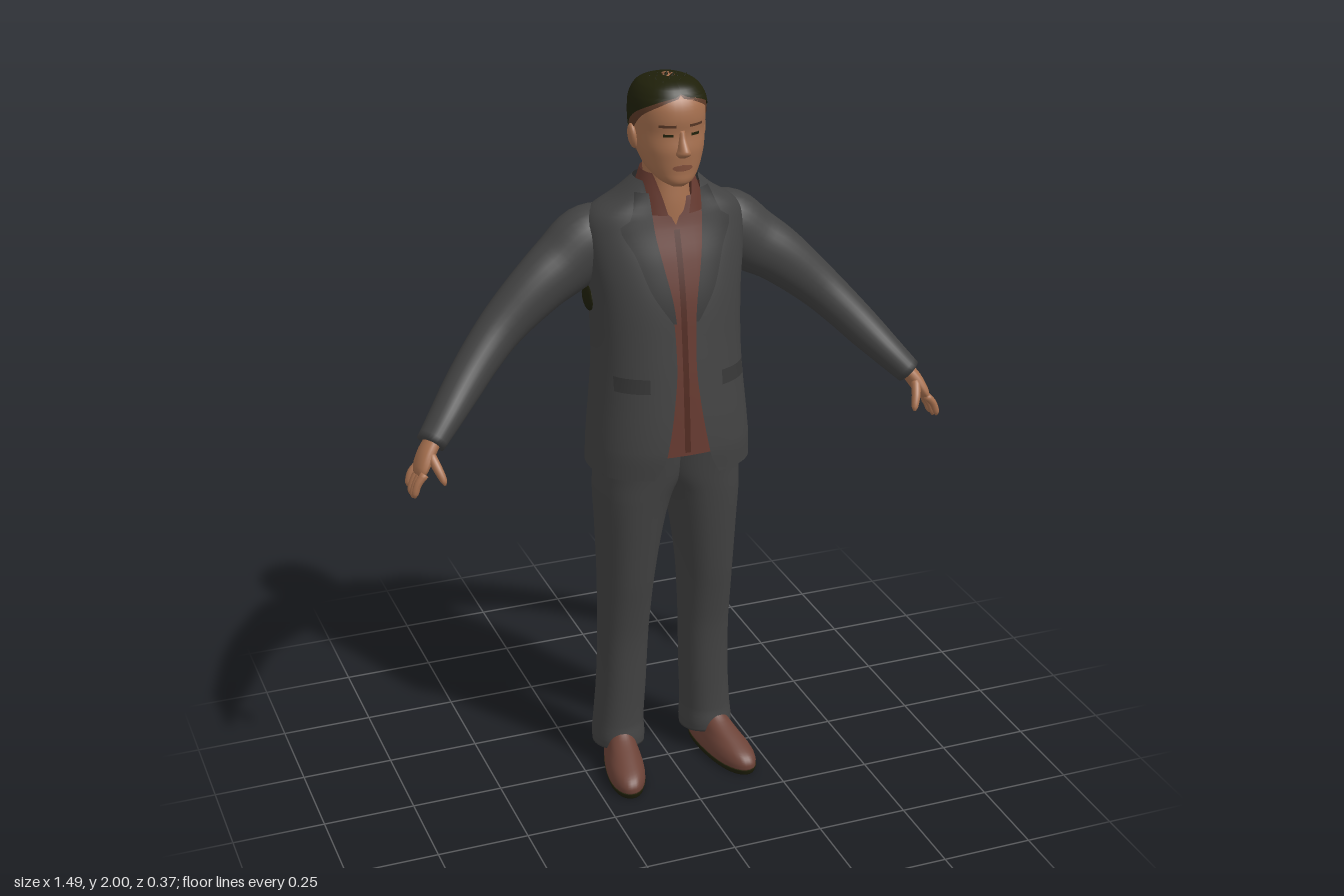
import * as THREE from 'three';

const V = (x, y, z) => new THREE.Vector3(x, y, z);
const mat = (name, color, side = THREE.DoubleSide) => {
  const m = new THREE.MeshStandardMaterial({ color, side });
  m.name = name;
  return m;
};

// Skin a list of rows of points, optionally closing each row and capping the ends.
function skin(rows, closed = true, caps = false) {
  const n = rows[0].length, pos = [], idx = [];
  rows.forEach(r => r.forEach(p => pos.push(p.x, p.y, p.z)));
  for (let i = 0; i < rows.length - 1; i++) {
    for (let j = 0; j < (closed ? n : n - 1); j++) {
      const k = (j + 1) % n, a = i * n + j, b = i * n + k;
      idx.push(a, b, a + n, b, b + n, a + n);
    }
  }
  if (caps) {
    [0, rows.length - 1].forEach(i => {
      const c = rows[i].reduce((s, p) => s.add(p), V(0, 0, 0)).divideScalar(n);
      const ci = pos.length / 3;
      pos.push(c.x, c.y, c.z);
      for (let j = 0; j < n; j++) {
        const a = i * n + j, b = i * n + (j + 1) % n;
        if (i === 0) idx.push(ci, b, a); else idx.push(ci, a, b);
      }
    });
  }
  const g = new THREE.BufferGeometry();
  g.setAttribute('position', new THREE.Float32BufferAttribute(pos, 3));
  g.setIndex(idx);
  g.computeVertexNormals();
  return g;
}

// Smoothly interpolate a table of [y, ...values] at height y.
function at(t, y) {
  let i = 0;
  while (i < t.length - 2 && y > t[i + 1][0]) i++;
  const h = t[i + 1][0] - t[i][0], u = (y - t[i][0]) / h;
  const slope = (k, c) => {
    const a = t[Math.max(k - 1, 0)], b = t[Math.min(k + 1, t.length - 1)];
    return (b[c] - a[c]) / (b[0] - a[0]);
  };
  return t[i].map((v, c) => c === 0 ? y :
    v * (1 + 2 * u) * (1 - u) ** 2 + t[i + 1][c] * u * u * (3 - 2 * u) +
    h * (slope(i, c) * u * (1 - u) ** 2 + slope(i + 1, c) * u * u * (u - 1)));
}

// Upright body from rows [y, halfWidth, backZ, frontZ, centreX]; open(y, row) gives a half gap angle at the front.
function body(t, { n = 2.2, segs = 36, open = null, caps = !open, sub = 4 } = {}) {
  const rows = [];
  const pw = v => Math.sign(v) * Math.abs(v) ** (2 / n);
  for (let i = 0; i < t.length - 1; i++) {
    for (let k = i ? 1 : 0; k <= sub; k++) {
      const y = t[i][0] + (t[i + 1][0] - t[i][0]) * k / sub;
      const s = at(t, y), a0 = open ? open(y, s) : 0, row = [];
      for (let j = 0; j < segs + (open ? 1 : 0); j++) {
        const a = a0 + (2 * Math.PI - 2 * a0) * j / segs;
        row.push(V((s[4] || 0) + s[1] * pw(Math.sin(a)), y,
          (s[2] + s[3]) / 2 + (s[3] - s[2]) / 2 * pw(Math.cos(a))));
      }
      rows.push(row);
    }
  }
  return skin(rows, !open, caps);
}
const gap = (w, n) => (y, s) => Math.asin(Math.min(0.98, Math.max(0, w(y)) / s[1]) ** (n / 2));

// Thin plate lying on the front of a body between two edge functions of y.
function patch(t, n, y0, y1, xa, xb, off, rows = 12, cols = 6) {
  const out = [];
  for (let i = 0; i <= rows; i++) {
    const y = y0 + (y1 - y0) * i / rows, s = at(t, y), row = [];
    for (let j = 0; j <= cols; j++) {
      const x = Math.min(xa(y) + (xb(y) - xa(y)) * j / cols, s[1] * 0.97);
      const f = (1 - Math.abs(x / s[1]) ** n) ** (1 / n);
      row.push(V(x, y, (s[2] + s[3]) / 2 + (s[3] - s[2]) / 2 * f + off));
    }
    out.push(row);
  }
  return skin(out, false);
}

// Limb along points [x, y, z, radius, radiusZ].
function limb(pts, segs = 20, sub = 4) {
  const curve = new THREE.CatmullRomCurve3(pts.map(p => V(p[0], p[1], p[2])));
  const rad = pts.map((p, i) => [i, p[3], p[4]]), rows = [], N = (pts.length - 1) * sub;
  for (let i = 0; i <= N; i++) {
    const c = curve.getPoint(i / N), T = curve.getTangent(i / N), r = at(rad, i / sub);
    const v = V(0, 0, 1).addScaledVector(T, -T.z).normalize(), u = v.clone().cross(T);
    rows.push(Array.from({ length: segs }, (_, j) => {
      const a = j / segs * Math.PI * 2;
      return c.clone().addScaledVector(u, r[1] * Math.cos(a)).addScaledVector(v, r[2] * Math.sin(a));
    }));
  }
  return skin(rows, true, true);
}

function mirrored(g) {
  const m = g.clone().scale(-1, 1, 1), ix = m.index.array;
  for (let i = 0; i < ix.length; i += 3) [ix[i], ix[i + 1]] = [ix[i + 1], ix[i]];
  return m;
}

export function createModel() {
  const root = new THREE.Group();
  const suit = mat('charcoal suit', 0x424242), lapelMat = mat('dark lapel', 0x373737);
  const shirtMat = mat('brown shirt', 0x65392f), placketMat = mat('shirt fold', 0x50291f);
  const skinMat = mat('skin', 0xa6704f), lipMat = mat('lips', 0x86523d);
  const hairMat = mat('dark olive', 0x1f200a), fadeMat = mat('hair fade', 0x5a3826);
  const shoeMat = mat('brown leather', 0x6b4237);
  const add = (name, g, m) => {
    const mesh = new THREE.Mesh(g, m);
    mesh.name = name;
    root.add(mesh);
  };
  const pair = (name, g, m) => {
    add(name + 'Left', g, m);
    add(name + 'Right', mirrored(g), m);
  };

  // Jacket, open down the front
  const torso = [[0.94, 0.222, -0.178, 0.15], [1.02, 0.218, -0.18, 0.156], [1.2, 0.201, -0.177, 0.142],
    [1.3, 0.198, -0.178, 0.132], [1.42, 0.203, -0.185, 0.118], [1.52, 0.215, -0.184, 0.095],
    [1.6, 0.215, -0.168, 0.07], [1.64, 0.195, -0.152, 0.06], [1.68, 0.135, -0.125, 0.052], [1.725, 0.084, -0.092, 0.045]];
  const edge = [[0.94, 0.09], [1.0, 0.062], [1.2, 0.03], [1.32, 0.028], [1.42, 0.036], [1.52, 0.055], [1.6, 0.068], [1.725, 0.075]];
  const edgeX = y => at(edge, y)[1];
  add('jacket', body(torso, { n: 2.4, segs: 48, open: gap(edgeX, 2.4) }), suit);
  const outer = [[1.37, 0.035], [1.45, 0.085], [1.55, 0.12], [1.615, 0.15], [1.632, 0.125], [1.7, 0.1]];
  pair('lapel', patch(torso, 2.4, 1.37, 1.7, y => edgeX(y) - 0.004, y => at(outer, y)[1], 0.008, 20), lapelMat);
  pair('pocketFlap', patch(torso, 2.4, 1.185, 1.225, () => 0.1, () => 0.18, 0.005, 3), lapelMat);

  // Shirt, placket and collar
  const shirt = torso.slice(1, 9).map(([y, r, b, f]) => [y, r - 0.014, b + 0.014, f - 0.012]);
  shirt[0][0] = 1.0;
  add('shirt', body(shirt, { n: 2.4, open: gap(y => (y - 1.61) * 0.5, 2.4) }), shirtMat);
  add('placket', patch(shirt, 2.4, 1.01, 1.6, () => -0.008, () => 0.008, 0.003), placketMat);
  const collar = [[1.645, 0.1, -0.112, 0.078], [1.69, 0.085, -0.1, 0.068], [1.745, 0.066, -0.09, 0.05]];
  add('collar', body(collar, { open: gap(y => 0.028 + (y - 1.645) * 0.25, 2.2) }), shirtMat);

  // Sleeves and hands
  pair('sleeve', limb([[0.12, 1.58, -0.075, 0.072, 0.078], [0.19, 1.55, -0.08, 0.095, 0.086],
    [0.26, 1.5, -0.075, 0.088, 0.08], [0.33, 1.455, -0.06, 0.077, 0.068], [0.44, 1.36, -0.045, 0.062, 0.059],
    [0.51, 1.29, -0.02, 0.055, 0.055], [0.57, 1.225, 0.01, 0.05, 0.052],
    [0.63, 1.16, 0.045, 0.042, 0.049], [0.674, 1.113, 0.07, 0.036, 0.045]], 28), suit);
  pair('palm', limb([[0.66, 1.13, 0.068, 0.02, 0.028], [0.686, 1.095, 0.078, 0.021, 0.036],
    [0.706, 1.06, 0.088, 0.017, 0.041], [0.714, 1.043, 0.09, 0.01, 0.036]]), skinMat);
  [0.057, 0.08, 0.103, 0.125].forEach((z, i) => {
    const drop = [0.012, 0, 0, 0.008][i];
    pair('finger' + (i + 1), limb([[0.706, 1.055, z, 0.011, 0.012], [0.725, 1.025 + drop, z + 0.002, 0.01, 0.011],
      [0.734, 1.0 + drop, z + 0.004, 0.009, 0.009], [0.736, 0.988 + drop, z + 0.004, 0.003, 0.003]], 10, 3), skinMat);
  });
  pair('thumb', limb([[0.683, 1.095, 0.1, 0.013, 0.014], [0.672, 1.065, 0.128, 0.012, 0.012],
    [0.662, 1.037, 0.143, 0.009, 0.009], [0.66, 1.026, 0.146, 0.003, 0.003]], 10, 3), skinMat);
  pair('armpit', new THREE.SphereGeometry(1, 16, 10).scale(0.012, 0.04, 0.04).translate(0.2, 1.405, -0.06), hairMat);

  // Trousers with hems dipping at the heel
  const leg = [[0.05, 0.069, -0.138, 0.03, 0.132], [0.08, 0.071, -0.14, 0.03, 0.132], [0.13, 0.068, -0.134, 0.024, 0.131],
    [0.25, 0.067, -0.126, 0.026, 0.124], [0.4, 0.068, -0.119, 0.034, 0.12], [0.5, 0.071, -0.12, 0.049, 0.118],
    [0.6, 0.075, -0.126, 0.067, 0.115], [0.75, 0.088, -0.138, 0.088, 0.107], [0.85, 0.103, -0.146, 0.1, 0.097],
    [0.92, 0.118, -0.148, 0.108, 0.08], [1.01, 0.118, -0.148, 0.12, 0.076]];
  const legGeo = body(leg, { n: 2.3, segs: 32 }), lp = legGeo.attributes.position;
  for (let i = 0; i < lp.count; i++) {
    lp.setY(i, lp.getY(i) + Math.max(0, 0.15 - lp.getY(i)) * 2 * (lp.getZ(i) + 0.06));
  }
  legGeo.computeVertexNormals();
  pair('trouserLeg', legGeo, suit);

  // Shoes: narrowed at the heel and turned outward
  const shoe = t => {
    const g = body(t, { n: 2.2, segs: 32 }), p = g.attributes.position;
    for (let i = 0; i < p.count; i++) p.setX(i, p.getX(i) * (0.88 + 0.7 * Math.min(0.17, Math.max(0, p.getZ(i) + 0.03))));
    g.rotateY(0.19).translate(0.142, 0, 0.003);
    g.computeVertexNormals();
    return g;
  };
  pair('shoe', shoe([[0.016, 0.056, -0.12, 0.185], [0.035, 0.056, -0.119, 0.184], [0.055, 0.051, -0.116, 0.165],
    [0.075, 0.044, -0.112, 0.115], [0.1, 0.038, -0.105, 0.045], [0.12, 0.033, -0.1, 0.01]]), shoeMat);
  pair('sole', shoe([[0, 0.053, -0.12, 0.18], [0.017, 0.057, -0.122, 0.187]]), hairMat);

  // Neck and head
  add('neck', body([[1.58, 0.075, -0.1, 0.05], [1.66, 0.062, -0.09, 0.05], [1.72, 0.057, -0.086, 0.045], [1.8, 0.06, -0.085, 0.04]]), skinMat);
  const head = [[1.722, 0.02, 0.035, 0.085], [1.735, 0.043, 0, 0.098], [1.76, 0.065, -0.05, 0.1], [1.79, 0.078, -0.085, 0.103],
    [1.82, 0.086, -0.105, 0.105], [1.86, 0.09, -0.115, 0.1], [1.9, 0.092, -0.117, 0.104],
    [1.94, 0.088, -0.11, 0.096], [1.97, 0.068, -0.09, 0.07], [1.985, 0.035, -0.05, 0.04]];
  add('head', body(head), skinMat);
  add('nose', body([[1.803, 0.012, 0.08, 0.11], [1.813, 0.019, 0.08, 0.128], [1.825, 0.015, 0.08, 0.13],
    [1.85, 0.01, 0.08, 0.112], [1.872, 0.008, 0.08, 0.103]], { segs: 16 }), skinMat);
  pair('ear', new THREE.SphereGeometry(1, 16, 12).scale(0.012, 0.033, 0.02).rotateZ(-0.15).translate(0.092, 1.838, -0.012), skinMat);
  pair('eye', patch(head, 2.2, 1.857, 1.864, () => 0.024, () => 0.048, 0.002, 2), hairMat);
  pair('eyebrow', patch(head, 2.2, 1.881, 1.888, () => 0.018, () => 0.058, 0.002, 2), fadeMat);
  const lip = y => 0.027 * Math.sqrt(Math.max(0, 1 - ((y - 1.776) / 0.009) ** 2));
  add('lips', patch(head, 2.2, 1.767, 1.785, y => -lip(y), lip, 0.003, 8), lipMat);

  // Hair cap with a faded hairline and short spikes on the crown
  const hair = [[1.79, 0.086, -0.096, 0.109], [1.82, 0.091, -0.114, 0.11], [1.86, 0.096, -0.122, 0.107], [1.9, 0.098, -0.124, 0.109],
    [1.94, 0.094, -0.118, 0.102], [1.97, 0.076, -0.1, 0.082], [1.984, 0.05, -0.07, 0.058], [1.992, 0.015, -0.025, 0.022]];
  const line = [[1.79, 2.5], [1.83, 2.1], [1.87, 1.75], [1.91, 1.35], [1.945, 0.6], [1.96, 0], [2.0, 0]];
  const fade = hair.map(([y, r, b, f]) => [y - 0.004, r - 0.003, b + 0.003, f - 0.003]);
  const angle = d => y => Math.max(0, at(line, Math.max(1.79, y))[1] - d);
  add('hair', body(hair, { open: angle(0) }), hairMat);
  add('hairFade', body(fade, { open: angle(0.28) }), fadeMat);
  for (let i = 0; i < 16; i++) {
    const a = i * 2.4, r = 0.013 * Math.sqrt(i + 0.5);
    const g = new THREE.ConeGeometry(0.013, 0.03, 6).rotateX(0.25).rotateZ(-Math.cos(a) * 0.3);
    add('hairSpike' + (i + 1), g.translate(r * Math.cos(a), 1.984 - r * r * 3.5, r * Math.sin(a)), hairMat);
  }
  return root;
}
